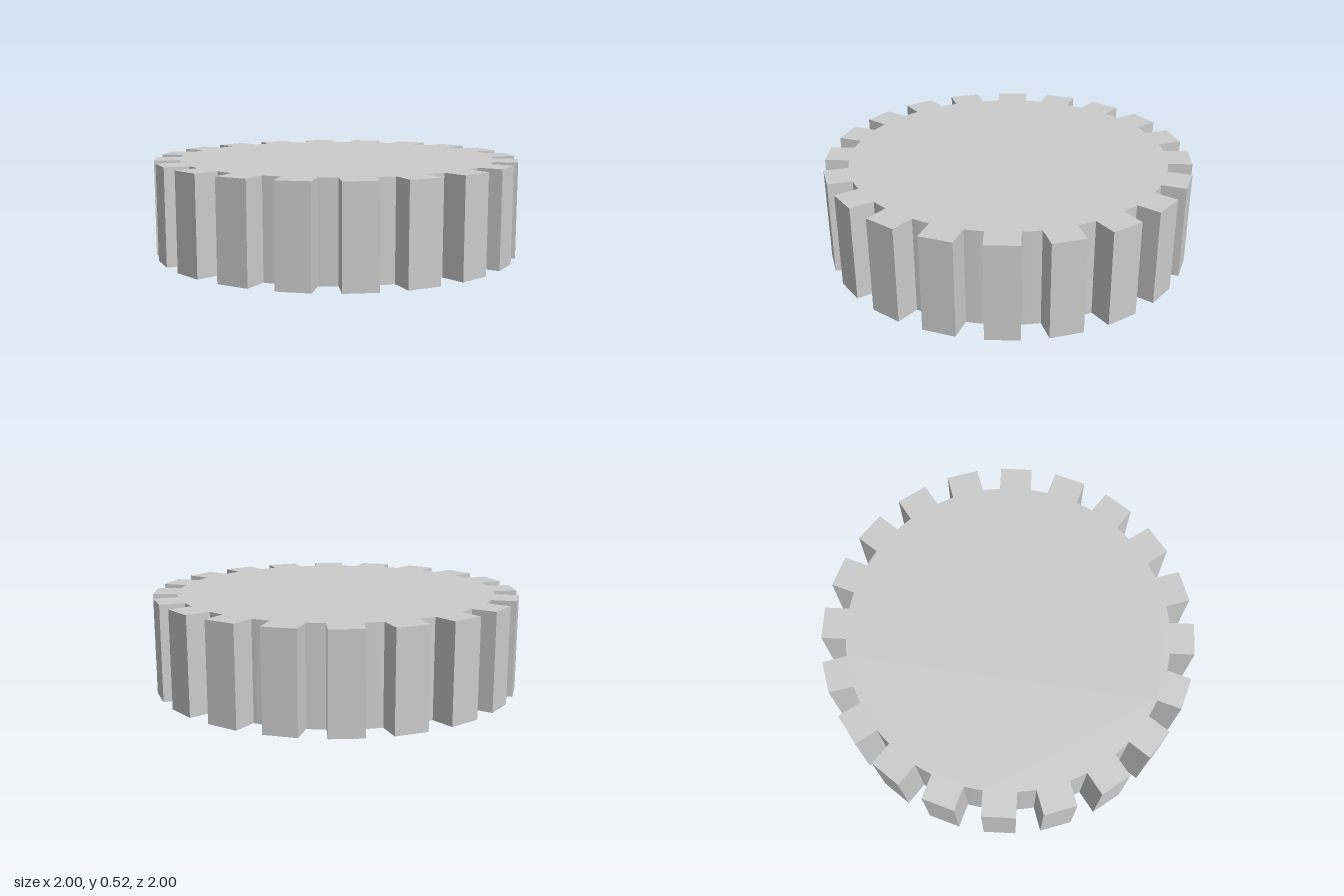
import * as THREE from 'three';

const TEETH = 20;
const HEIGHT = 0.52;
const TIP = 1; // distance from the axis to each flat tooth tip
const HALF_WIDTH = 0.088; // half the width of a parallel-sided tooth
const ROOT_RADIUS = 0.872; // radius of the valleys between teeth
const VALLEY_STEPS = 4;

// Closed outline: square teeth joined by short arcs on the root circle
function gearOutline() {
  const points = [];
  const pitch = (Math.PI * 2) / TEETH;
  const rootHalfAngle = Math.asin(HALF_WIDTH / ROOT_RADIUS);
  const valleyAngle = pitch - 2 * rootHalfAngle;
  const origin = new THREE.Vector2();

  for (let i = 0; i < TEETH; i++) {
    const angle = i * pitch;
    // Flat tip
    for (const side of [-1, 1]) {
      points.push(new THREE.Vector2(TIP, side * HALF_WIDTH).rotateAround(origin, angle));
    }
    // Valley up to the foot of the next tooth
    for (let j = 0; j <= VALLEY_STEPS; j++) {
      const a = angle + rootHalfAngle + (valleyAngle * j) / VALLEY_STEPS;
      points.push(new THREE.Vector2(Math.cos(a), Math.sin(a)).multiplyScalar(ROOT_RADIUS));
    }
  }
  return new THREE.Shape(points);
}

export function createModel() {
  const group = new THREE.Group();
  group.name = 'gear';

  // Solid toothed disc, laid flat on the ground
  const geometry = new THREE.ExtrudeGeometry(gearOutline(), { depth: HEIGHT, bevelEnabled: false });
  geometry.rotateX(-Math.PI / 2);

  const gear = new THREE.Mesh(geometry, new THREE.MeshStandardMaterial({ color: 0xcccccc }));
  gear.name = 'toothedDisc';
  group.add(gear);
  return group;
}
